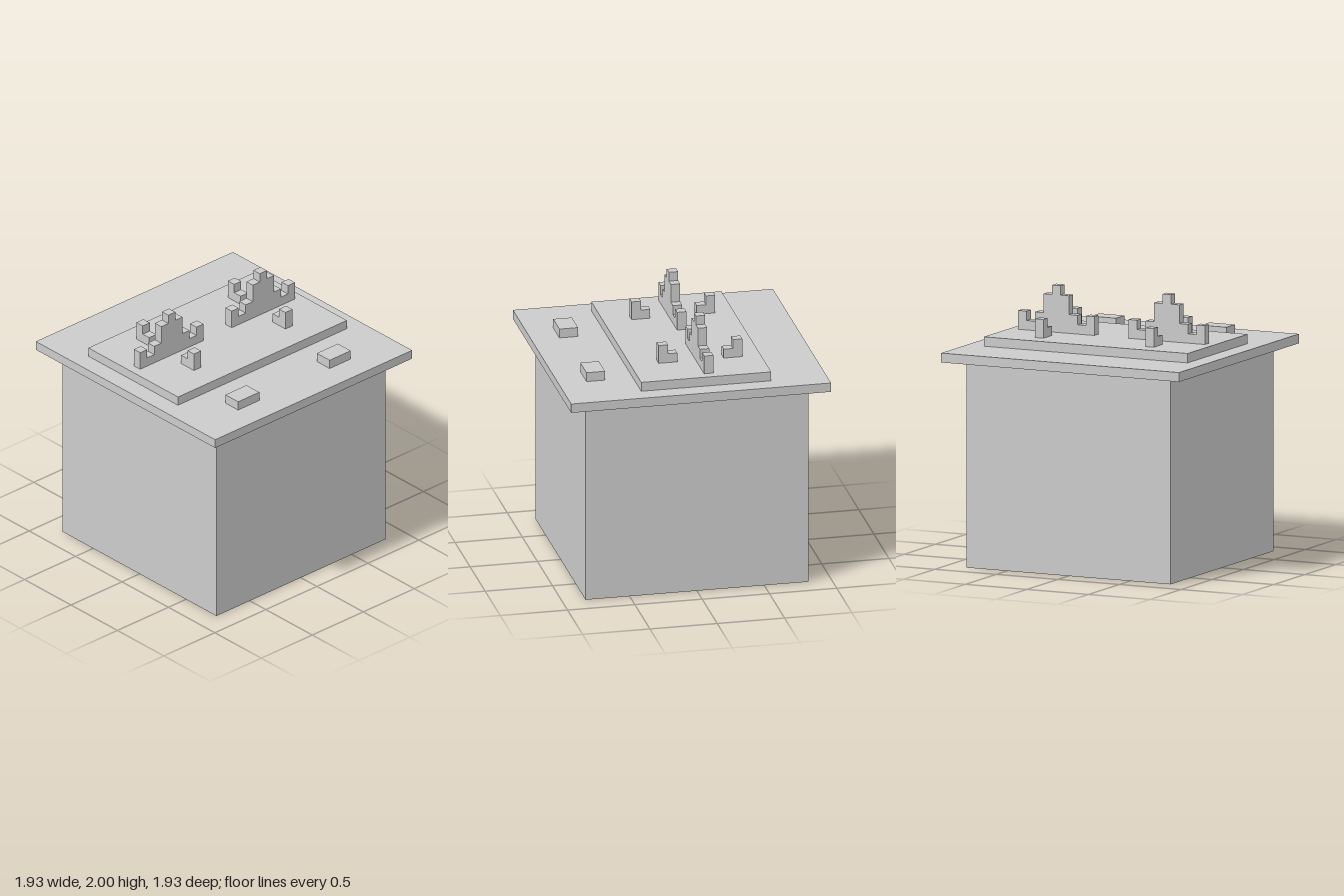
import * as THREE from 'three';

// The model sits on a grid: 29 cells tall = 2 units
const U = 2 / 29;
const material = new THREE.MeshStandardMaterial({ color: 0xcccccc, flatShading: true });

// Box between two grid corners
function box(name, [x0, y0, z0], [x1, y1, z1]) {
  const mesh = new THREE.Mesh(new THREE.BoxGeometry((x1 - x0) * U, (y1 - y0) * U, (z1 - z0) * U), material);
  mesh.position.set((x0 + x1) / 2 * U, (y0 + y1) / 2 * U, (z0 + z1) / 2 * U);
  mesh.name = name;
  return mesh;
}

// Stepped silhouette from column heights, one cell wide each, extruded one cell deep
function steppedPlate(name, heights) {
  const half = heights.length / 2;
  const shape = new THREE.Shape();
  shape.moveTo(half * U, 0);
  for (let i = heights.length - 1; i >= 0; i--) {
    shape.lineTo((i + 1 - half) * U, heights[i] * U);
    shape.lineTo((i - half) * U, heights[i] * U);
  }
  shape.lineTo(-half * U, 0);
  shape.closePath();
  const geometry = new THREE.ExtrudeGeometry(shape, { depth: U, bevelEnabled: false });
  geometry.translate(0, 0, -U / 2);
  const mesh = new THREE.Mesh(geometry, material);
  mesh.name = name;
  return mesh;
}

// Burner: a stepped plate across, with small L-shaped prongs in front and behind
function createBurner() {
  const burner = new THREE.Group();
  burner.add(steppedPlate('burnerPlate', [2, 1, 2, 4, 5, 4, 2, 1, 2]));
  for (const side of [1, -1]) {
    const prong = steppedPlate(side > 0 ? 'frontProng' : 'backProng', [1, 2]);
    prong.rotation.y = -side * Math.PI / 2;
    prong.position.z = side * 3.5 * U;
    burner.add(prong);
  }
  return burner;
}

export function createModel() {
  const model = new THREE.Group();
  model.name = 'stove';
  model.add(
    box('body', [-12, 0, -12], [12, 22, 12]),
    box('counterTop', [-14, 22, -14], [14, 23, 14]),
    box('hob', [-12, 23, -8], [12, 24, 6]),
  );
  for (const side of [1, -1]) {
    const prefix = side > 0 ? 'left' : 'right';
    const burner = createBurner();
    burner.name = prefix + 'Burner';
    burner.position.set(side * 6.5 * U, 24 * U, -1.5 * U);
    model.add(burner);
    model.add(box(prefix + 'Knob', [side * 6.5 - 1.5, 23, 9], [side * 6.5 + 1.5, 24, 11]));
  }
  return model;
}
